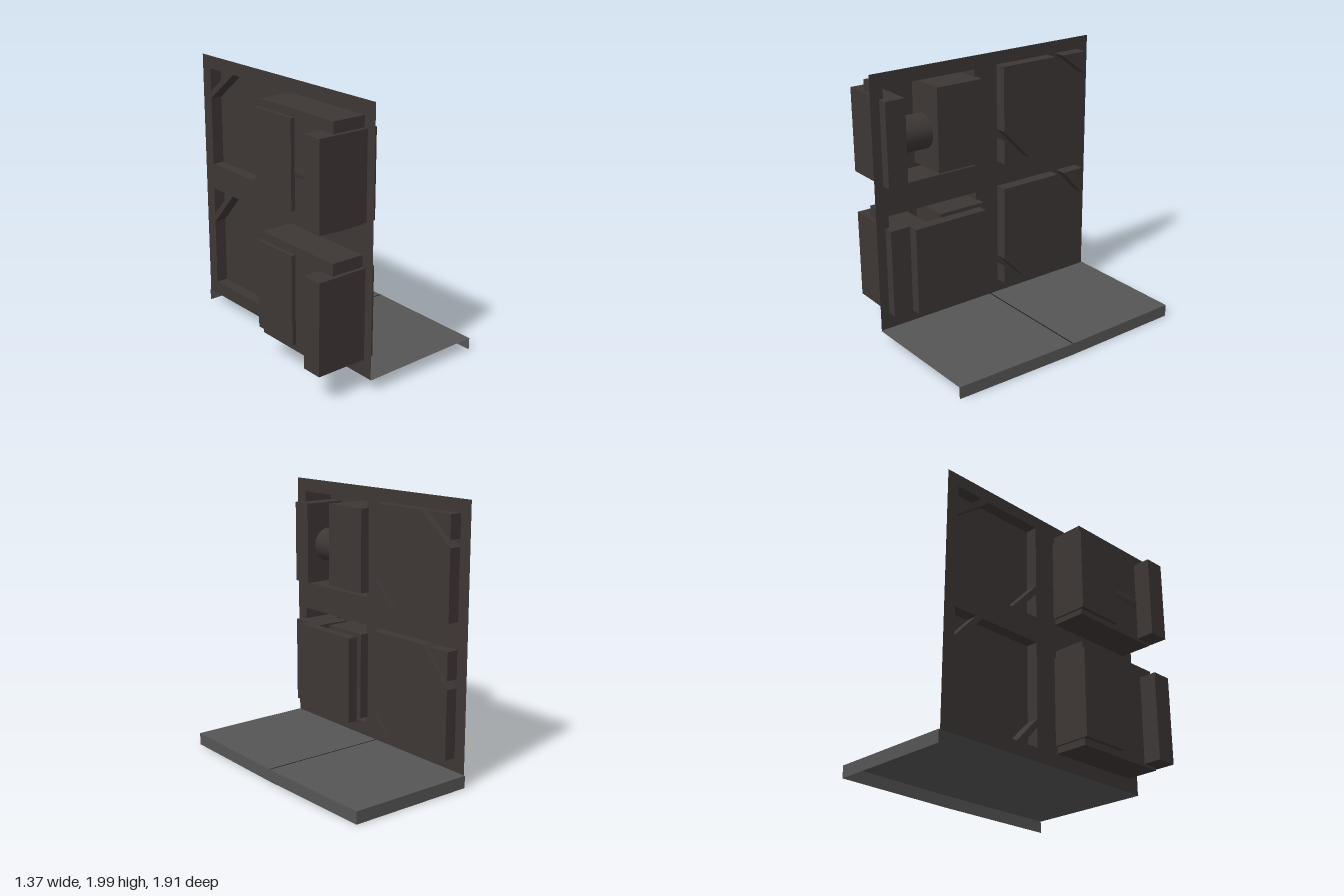
import * as THREE from 'three';
import { mergeGeometries } from 'three/addons/utils/BufferGeometryUtils.js';

const WALL_X = -0.3;

export function createModel() {
  const model = new THREE.Group();
  const material = (color) =>
    new THREE.MeshStandardMaterial({ color, side: THREE.DoubleSide, flatShading: true });
  const brown = material(0x3d3635);
  const grey = material(0x555555);
  const black = material(0x1c1a1a);

  const add = (name, geometry, mat, parent = model) => {
    const mesh = new THREE.Mesh(geometry, mat);
    mesh.name = name;
    parent.add(mesh);
    return mesh;
  };

  // Solid block given by its limits on each axis
  const block = (name, [x0, x1], [y0, y1], [z0, z1], parent) => {
    const mesh = add(name, new THREE.BoxGeometry(x1 - x0, y1 - y0, z1 - z0), brown, parent);
    mesh.position.set((x0 + x1) / 2, (y0 + y1) / 2, (z0 + z1) / 2);
  };

  // Outlines are [z, y] points; shapes are drawn in (-z, y) and turned to face +x
  const toVectors = (outline) => outline.map(([z, y]) => new THREE.Vector2(-z, y));
  const rect = (z0, z1, y0, y1) => [[z1, y0], [z0, y0], [z0, y1], [z1, y1]];

  const quad = (a, b, c, d) => {
    const g = new THREE.BufferGeometry();
    g.setAttribute('position', new THREE.Float32BufferAttribute([a, b, c, a, c, d].flat(), 3));
    g.computeVertexNormals();
    return g;
  };

  // Hollow pressed form: side walls from the wall plane and one cap, open at the wall
  const openings = [];
  const pressed = (name, outline, depth, parent) => {
    openings.push(outline);
    const x = WALL_X + depth;
    const cap = new THREE.ShapeGeometry(new THREE.Shape(toVectors(outline))).toNonIndexed();
    cap.rotateY(Math.PI / 2).translate(x, 0, 0).deleteAttribute('uv');
    const sides = outline.map(([z, y], i) => {
      const [z2, y2] = outline[(i + 1) % outline.length];
      return quad([WALL_X, y, z], [WALL_X, y2, z2], [x, y2, z2], [x, y, z]);
    });
    add(name, mergeGeometries([cap, ...sides]), brown, parent);
  };

  // Two storeys of raised panels and deep recesses with their fittings
  const storeys = [
    {
      name: 'upper', y0: 1.17, y1: 1.905, recess: [1.18, 1.9], post: [1.2, 1.82], cabinet: [1.22, 1.845],
      low: [1.42, -0.335, 1.355, -0.275], high: [-0.565, 1.68, -0.635, 1.735],
    },
    {
      name: 'lower', y0: 0.2, y1: 0.975, recess: [0.205, 0.97], post: [0.225, 0.885], cabinet: [0.255, 0.91],
      low: [0.405, -0.29, 0.345, -0.225], high: [-0.61, 0.705, -0.665, 0.77],
    },
  ];
  const zA = -0.095, zB = -0.855;
  for (const s of storeys) {
    const group = new THREE.Group();
    group.name = s.name + 'Storey';
    model.add(group);
    const { y0, y1, low, high } = s;

    // Panel with two clipped corners, and a triangle in each of them
    pressed('clippedPanel', [
      [low[1], y0], [zB, y0], [zB, high[1]], [high[0], y1], [zA, y1], [zA, low[0]],
    ], 0.09, group);
    pressed('lowerTriangle', [[zA, y0], [low[3], y0], [zA, low[2]]], 0.09, group);
    pressed('upperTriangle', [[zB, y1], [high[2], y1], [zB, high[3]]], 0.09, group);

    // Recess set back through the wall, with a post and a cabinet inside
    pressed('recess', rect(0.1, 0.85, ...s.recess), -0.25, group);
    block('post', [-0.685, -0.225], s.post, [0.725, 0.88], group);
    block('cabinet', [-0.58, -0.23], s.cabinet, [0.085, 0.465], group);
  }

  // Drum between the upper post and cabinet
  const drumMaterial = brown.clone();
  drumMaterial.flatShading = false;
  const drum = add('drum', new THREE.CylinderGeometry(0.13, 0.13, 0.27, 32), drumMaterial);
  drum.rotation.x = Math.PI / 2;
  drum.position.set(-0.425, 1.49, 0.595);

  // L-shaped screen closing the lower recess
  block('screenFace', [-0.225, -0.145], [0.225, 0.885], [0.125, 0.725]);
  block('screenReturn', [-0.5, -0.225], [0.225, 0.885], [0.59, 0.725]);

  // Thin wall pierced by every pressed form
  const wallShape = new THREE.Shape(toVectors(rect(-0.95, 0.95, 0.1, 2)));
  for (const outline of openings) wallShape.holes.push(new THREE.Path(toVectors(outline)));
  add('wall', new THREE.ShapeGeometry(wallShape).rotateY(Math.PI / 2).translate(WALL_X, 0, 0), brown);

  // Floor of two thin tiles with lips along the outer edge and the rear edge
  const top = 0.1, bottom = 0.01, seam = -0.022;
  const tiles = [
    ['frontTile', [0.665, 0.94], [0.682, seam], 0.955],
    ['rearTile', [0.682, seam], [0.665, -0.96], seam],
  ];
  for (const [name, [xa, za], [xb, zb], zInner] of tiles) {
    add(name, quad([WALL_X, top, zInner], [xa, top, za], [xb, top, zb], [WALL_X, top, zb]), grey);
    add(name + 'Lip', quad([xa, top, za], [xa, bottom, za], [xb, bottom, zb], [xb, top, zb]), grey);
  }
  add('rearLip', quad([0.665, top, -0.96], [0.665, bottom, -0.96],
    [WALL_X, bottom, -0.96], [WALL_X, top, -0.96]), grey);

  // Dark joint between the tiles
  const j = 0.005, jy = top + 0.002;
  add('floorJoint', quad([WALL_X, jy, seam + j], [0.682, jy, seam + j],
    [0.682, jy, seam - j], [WALL_X, jy, seam - j]), black);

  return model;
}
